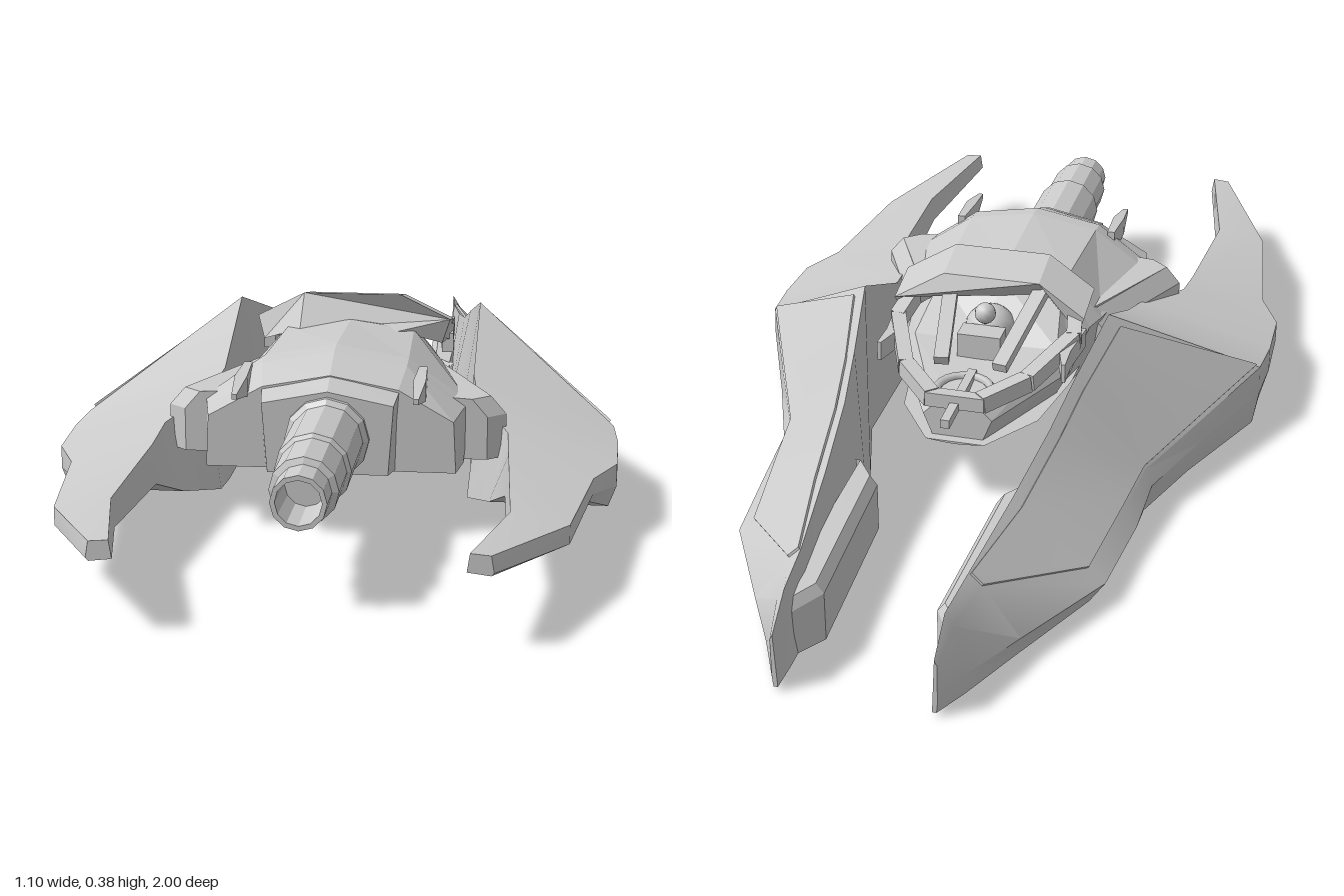
import * as THREE from 'three';
import { toCreasedNormals } from 'three/addons/utils/BufferGeometryUtils.js';

const material = new THREE.MeshStandardMaterial({ color: 0xcccccc });
const flat = new THREE.MeshStandardMaterial({ color: 0xcccccc, flatShading: true });

// Skin a list of rings (counter-clockwise seen from the front, rising z), capped at both ends
function loft(rings, crease = 0.35) {
  const n = rings[0].length, pos = [];
  const tri = (...pts) => pts.forEach((p) => pos.push(...p));
  for (let i = 0; i < rings.length - 1; i++) {
    for (let j = 0; j < n; j++) {
      const k = (j + 1) % n, a = rings[i], b = rings[i + 1];
      tri(a[j], a[k], b[j]);
      tri(a[k], b[k], b[j]);
    }
  }
  const first = rings[0], last = rings[rings.length - 1];
  for (let j = 1; j < n - 1; j++) {
    tri(first[0], first[j + 1], first[j]);
    tri(last[0], last[j], last[j + 1]);
  }
  const geo = new THREE.BufferGeometry();
  geo.setAttribute('position', new THREE.Float32BufferAttribute(pos, 3));
  return toCreasedNormals(geo, crease);
}

// Mirror a half profile (bottom to top, right side) into a full ring
function symmetric(z, half) {
  const right = half.map(([x, y]) => [x, y, z]);
  const left = half.filter(([x]) => x > 0).reverse().map(([x, y]) => [-x, y, z]);
  return [...right, ...left];
}

// Mirror a geometry across x and turn its faces back outward
function mirrored(geo) {
  const g = geo.index ? geo.toNonIndexed() : geo.clone();
  g.scale(-1, 1, 1);
  for (const attr of Object.values(g.attributes)) {
    const s = attr.itemSize;
    for (let i = 0; i < attr.count; i += 3) {
      for (let c = 0; c < s; c++) {
        const p = (i + 1) * s + c, q = (i + 2) * s + c;
        [attr.array[p], attr.array[q]] = [attr.array[q], attr.array[p]];
      }
    }
  }
  return g;
}

// Box beam running from a to b
function beam(a, b, w, h) {
  const from = new THREE.Vector3(...a), to = new THREE.Vector3(...b);
  const o = new THREE.Object3D();
  o.position.copy(from).lerp(to, 0.5);
  o.lookAt(to);
  o.updateMatrix();
  return new THREE.BoxGeometry(w, h, from.distanceTo(to)).applyMatrix4(o.matrix);
}

export function createModel() {
  const model = new THREE.Group();
  const add = (name, geo, mat = material) => {
    const mesh = new THREE.Mesh(geo, mat);
    mesh.name = name;
    model.add(mesh);
  };
  const addPair = (name, geo, mat) => {
    add('left' + name, geo, mat);
    add('right' + name, mirrored(geo), mat);
  };

  // Wings: z, then x,y of inner foot, outer foot, lower edge, upper edge, ridge
  const wing = [
    [-1.0, 0.14, 0.01, 0.148, 0.01, 0.15, 0.03, 0.15, 0.11, 0.145, 0.12],
    [-0.93, 0.14, 0.005, 0.18, 0.005, 0.185, 0.05, 0.16, 0.145, 0.145, 0.17],
    [-0.81, 0.14, 0.005, 0.235, 0.005, 0.25, 0.05, 0.18, 0.15, 0.155, 0.175],
    [-0.6, 0.15, 0, 0.33, 0, 0.36, 0.045, 0.33, 0.07, 0.18, 0.2],
    [-0.4, 0.165, 0, 0.36, 0, 0.38, 0.045, 0.355, 0.085, 0.205, 0.237],
    [-0.27, 0.2, 0, 0.37, 0, 0.385, 0.06, 0.37, 0.095, 0.225, 0.282],
    [-0.1, 0.25, 0, 0.43, 0, 0.45, 0.07, 0.445, 0.115, 0.255, 0.34],
    [0.12, 0.25, 0, 0.53, 0.005, 0.542, 0.08, 0.54, 0.14, 0.255, 0.24],
    [0.22, 0.25, 0.01, 0.53, 0.01, 0.548, 0.08, 0.548, 0.135, 0.27, 0.215],
    [0.35, 0.3, 0.045, 0.53, 0.045, 0.545, 0.085, 0.545, 0.13, 0.335, 0.185],
    [0.45, 0.335, 0.09, 0.49, 0.085, 0.5, 0.1, 0.5, 0.13, 0.34, 0.17],
    [0.74, 0.35, 0.1, 0.45, 0.095, 0.46, 0.1, 0.46, 0.135, 0.355, 0.155],
    [1.0, 0.295, 0.135, 0.335, 0.13, 0.34, 0.135, 0.335, 0.165, 0.3, 0.168],
  ].map(([z, ...p]) => [0, 2, 4, 6, 8].map((i) => [p[i], p[i + 1], z]));
  addPair('Wing', loft(wing, 0.45));

  // Thin plates lying on the wing slopes, ending in a point at the widest corner
  const vec = (p) => new THREE.Vector3(...p);
  const edges = wing.slice(2, 7).map((ring) => [vec(ring[3]), vec(ring[4])]);
  const corner = vec(wing[7][3]).lerp(edges[4][1], 0.03);
  edges.push([corner, corner.clone().lerp(edges[4][1], 0.04)]);
  const lift = new THREE.Vector3(0.003, 0.004, 0);
  addPair('WingPlate', loft(edges.map(([o, r]) => {
    const low = o.clone().lerp(r, 0.03), high = o.clone().lerp(r, 0.88);
    return [low, low.clone().add(lift), high.clone().add(lift), high].map((v) => v.toArray());
  })));

  // Pods on the inner side of the wing tails
  const pod = [[-0.9, 0.145, 0.12], [-0.84, 0.105, 0.125], [-0.47, 0.12, 0.125], [-0.42, 0.165, 0.125]];
  addPair('TailPod', loft(pod.map(([z, x, y]) =>
    [[x, 0.005, z], [0.17, 0.005, z], [0.17, y, z], [x + 0.015, y, z], [x, y - 0.02, z]])));

  // Hull with its wide shoulders
  add('hull', loft([
    symmetric(-0.32, [[0.05, 0.14], [0.07, 0.19], [0.05, 0.21], [0, 0.21]]),
    symmetric(-0.1, [[0.14, 0.125], [0.18, 0.2], [0.15, 0.245], [0, 0.24]]),
    symmetric(0.03, [[0.17, 0.125], [0.19, 0.235], [0.13, 0.31], [0, 0.33]]),
    symmetric(0.08, [[0.19, 0.125], [0.205, 0.235], [0.13, 0.32], [0, 0.338]]),
    symmetric(0.32, [[0.25, 0.125], [0.26, 0.235], [0.14, 0.32], [0, 0.345]]),
    symmetric(0.36, [[0.25, 0.125], [0.25, 0.235], [0.14, 0.315], [0, 0.34]]),
    symmetric(0.43, [[0.24, 0.125], [0.235, 0.225], [0.13, 0.285], [0, 0.31]]),
  ]), flat);
  add('nose', loft([
    symmetric(0.4, [[0.13, 0.127], [0.135, 0.29], [0, 0.32]]),
    symmetric(0.475, [[0.115, 0.13], [0.125, 0.265], [0, 0.29]]),
  ]), flat);
  addPair('SidePod', loft([[0.07, 0.21], [0.32, 0.33], [0.35, 0.295]].map(([z, x]) =>
    [[0.18, 0.13, z], [x, 0.13, z], [x, 0.215, z], [x - 0.03, 0.25, z], [0.18, 0.255, z]])));

  // Rounded keel below the hull, narrowing to a soft V
  add('keel', loft([[-0.34, 0.06, 0.14], [-0.22, 0.14, 0.09], [-0.05, 0.17, 0.045], [0.12, 0.175, 0.035],
    [0.28, 0.17, 0.07], [0.43, 0.14, 0.115]].map(([z, w, low]) => {
    const ring = [];
    for (let i = -5; i <= 5; i++) {
      const t = i / 5;
      ring.push([t * w, low + (0.145 - low) * Math.abs(t) ** 1.6, z]);
    }
    return ring;
  }), 0.8));

  // Nose cannon: collar, stepped barrel and hollow muzzle
  const cannonProfile = [[0, 0.4], [0.082, 0.4], [0.08, 0.485], [0.07, 0.495], [0.07, 0.68], [0.062, 0.685],
    [0.062, 0.8], [0.05, 0.805], [0.05, 0.87], [0.041, 0.87], [0.038, 0.77], [0, 0.77]];
  const cannon = new THREE.LatheGeometry(cannonProfile.map(([r, z]) => new THREE.Vector2(r, z)), 12);
  cannon.rotateX(Math.PI / 2).translate(0, 0.2, 0);
  add('cannon', cannon, flat);

  // Canopy arch, raked and swept back toward its sides, sinking to the rear
  const arch = new THREE.Shape([[0.2, 0.33], [0.1, 0.385], [-0.1, 0.385], [-0.2, 0.33], [-0.185, 0.285],
    [-0.1, 0.325], [0.1, 0.325], [0.185, 0.285]].map((p) => new THREE.Vector2(...p)));
  const archGeo = new THREE.ExtrudeGeometry(arch, { depth: 0.1, bevelEnabled: false });
  const ap = archGeo.attributes.position;
  for (let i = 0; i < ap.count; i++) {
    const x = Math.abs(ap.getX(i)), y = ap.getY(i), z = ap.getZ(i);
    ap.setY(i, y - (0.1 - z) * 0.2);
    ap.setZ(i, z + 0.02 - Math.max(0, x - 0.1) * 0.9 - Math.max(0, y - 0.325) * 1.2);
  }
  add('canopyArch', archGeo, flat);

  // Open cockpit frame behind the arch
  const rail = [[0.17, 0.3, -0.02], [0.185, 0.275, -0.1], [0.125, 0.25, -0.25], [0.05, 0.235, -0.33]];
  for (let i = 0; i < rail.length - 1; i++) addPair('CockpitRail', beam(rail[i], rail[i + 1], 0.03, 0.035), flat);
  addPair('CockpitBrace', beam([0.1, 0.335, 0.02], [0.06, 0.255, -0.22], 0.03, 0.02), flat);
  add('rearCrossbar', beam([-0.06, 0.235, -0.33], [0.06, 0.235, -0.33], 0.025, 0.03), flat);
  addPair('RearSpike', loft([[-0.22, 0.19, 0.004], [-0.16, 0.18, 0.012], [-0.06, 0.19, 0.012]].map(([z, x, r]) =>
    [[x - r, 0.24, z], [x + r, 0.24, z], [x + r, 0.28, z], [x - r, 0.28, z]])));
  add('tailRod', beam([0, 0.225, -0.41], [0, 0.225, -0.2], 0.018, 0.018), flat);
  add('tailHoop', new THREE.TorusGeometry(0.055, 0.009, 6, 20).rotateX(Math.PI / 2).translate(0, 0.225, -0.27));

  // Seat and seated figure
  add('seat', new THREE.BoxGeometry(0.09, 0.07, 0.05).translate(0, 0.25, -0.13), flat);
  add('seatedBody', new THREE.SphereGeometry(0.052, 14, 10).scale(1, 0.9, 1).translate(0, 0.26, -0.06));
  add('seatedHead', new THREE.SphereGeometry(0.022, 12, 8).translate(0, 0.31, -0.1));

  // Small fins on the front shoulders
  addPair('NoseFin', loft([[0.34, 0.26, 0.31, 0.008], [0.43, 0.265, 0.305, 0.012], [0.51, 0.28, 0.29, 0.005]]
    .map(([z, lo, hi, r]) => [[0.17 - r, lo, z], [0.17 + r, lo, z], [0.17 + r, hi, z], [0.17 - r, hi, z]])));

  return model;
}
